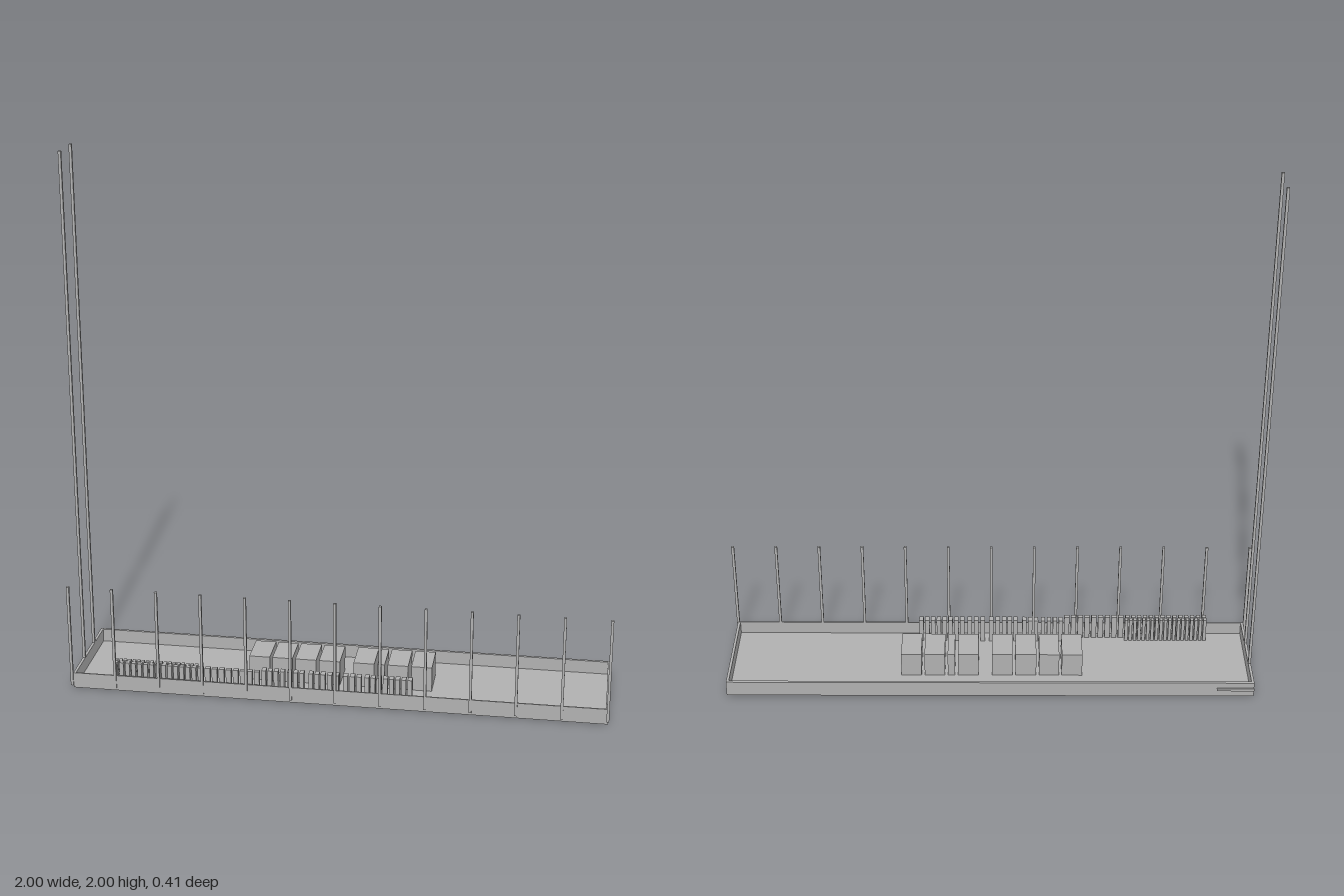
import * as THREE from 'three';

export function createModel() {
  const model = new THREE.Group();
  const grey = new THREE.MeshStandardMaterial({ color: 0xb0b0b0 });
  grey.name = 'plain grey';

  // Box given by its minimum and maximum on each axis
  function block(name, parent, x0, x1, y0, y1, z0, z1) {
    const mesh = new THREE.Mesh(new THREE.BoxGeometry(x1 - x0, y1 - y0, z1 - z0), grey);
    mesh.position.set((x0 + x1) / 2, (y0 + y1) / 2, (z0 + z1) / 2);
    mesh.name = name;
    parent.add(mesh);
  }
  function group(name) {
    const g = new THREE.Group();
    g.name = name;
    model.add(g);
    return g;
  }

  const FLOOR = 0.01, RIM = 0.06, TOP = 0.106;
  const LEFT = -0.99, RIGHT = 0.995, BACK = -0.195, FRONT = 0.2;

  // Shallow open tray
  const tray = group('tray');
  block('floor', tray, LEFT, RIGHT, 0, FLOOR, BACK, FRONT);
  block('backWall', tray, LEFT, RIGHT, FLOOR, RIM, BACK, BACK + 0.01);
  block('frontWall', tray, LEFT, RIGHT, FLOOR, RIM, FRONT - 0.005, FRONT);
  for (const [name, x] of [['rightEndWall', LEFT], ['leftEndWall', RIGHT - 0.01]]) {
    block(name, tray, x, x + 0.01, FLOOR, RIM, BACK + 0.01, FRONT - 0.005);
  }
  block('backStrip', tray, LEFT, -0.85, 0.028, 0.038, -0.202, BACK);

  // Row of thin posts along the front edge
  const posts = group('frontPosts');
  for (let i = 0; i < 13; i++) {
    const x = -0.995 + i * 0.1657;
    block('frontPost', posts, x - 0.005, x + 0.005, FLOOR, 0.41, 0.195, 0.205);
  }

  // Two tall masts on one end
  const masts = group('tallMasts');
  for (const z of [-0.066, 0.066]) {
    block('tallMast', masts, -0.99, -0.98, FLOOR, 2, z - 0.005, z + 0.005);
  }

  // Large blocks in the middle
  const large = group('largeBlocks');
  const spans = [[-0.348, -0.27], [-0.26, -0.184], [-0.173, -0.094], [-0.083, -0.004],
    [0.047, 0.125], [0.137, 0.164], [0.175, 0.252], [0.264, 0.341]];
  for (const [a, b] of spans) block('largeBlock', large, a, b, FLOOR, TOP, -0.08, 0.055);

  // Runs of small blocks near the front: start, count, pitch, width, z range
  const small = group('smallBlocks');
  const runs = [
    [-0.84, 14, 0.023, 0.016, 0.166, 0.183],
    [-0.518, 9, 0.0265, 0.02, 0.166, 0.183],
    [-0.84, 19, 0.017, 0.012, 0.147, 0.164],
    [-0.28, 4, 0.023, 0.016, 0.143, 0.17],
    [-0.184, 3, 0.023, 0.016, 0.143, 0.17],
    [-0.104, 2, 0.023, 0.016, 0.143, 0.17],
    [-0.06, 3, 0.025, 0.018, 0.143, 0.17],
    [0.024, 3, 0.025, 0.018, 0.143, 0.17],
    [0.104, 8, 0.0227, 0.017, 0.143, 0.17]
  ];
  for (const [start, count, pitch, width, z0, z1] of runs) {
    for (let i = 0; i < count; i++) {
      const x = start + i * pitch;
      block('smallBlock', small, x, x + width, FLOOR, TOP, z0, z1);
    }
  }
  return model;
}
